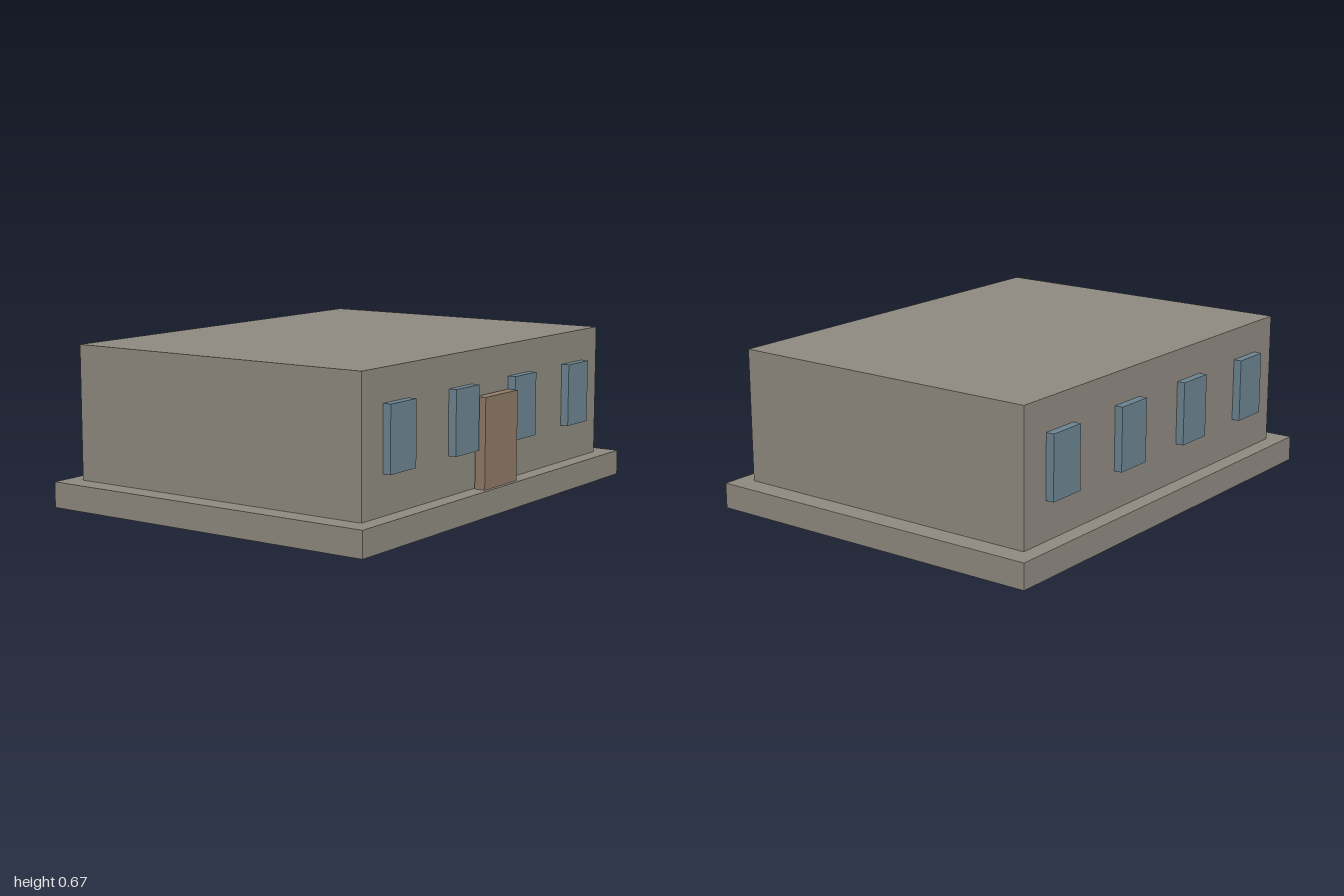
import * as THREE from 'three';

export function createModel() {
  const model = new THREE.Group();
  model.name = 'building';

  const material = (name, color) => {
    const m = new THREE.MeshStandardMaterial({ color });
    m.name = name;
    return m;
  };
  const concrete = material('concrete', 0x8f8a80);
  const glass = material('glass', 0x6c8491);
  const wood = material('wood', 0x8f7a67);

  // Box given by its size, the height of its underside and its centre in x and z
  const addBox = (name, mat, [w, h, d], x, bottom, z) => {
    const mesh = new THREE.Mesh(new THREE.BoxGeometry(w, h, d), mat);
    mesh.name = name;
    mesh.position.set(x, bottom + h / 2, z);
    model.add(mesh);
  };

  // Plinth and main block
  const baseTop = 0.108;
  const wallZ = 0.702;
  addBox('foundation', concrete, [2, baseTop, 1.546], 0, 0, 0);
  addBox('walls', concrete, [1.814, 0.564, wallZ * 2], 0, baseTop, 0);

  // Four raised windows on the front and on the back
  for (const side of [1, -1]) {
    for (const x of [-0.682, -0.227, 0.227, 0.682]) {
      addBox(side > 0 ? 'frontWindow' : 'backWindow', glass,
        [0.173, 0.267, 0.035], x, 0.27, side * (wallZ + 0.0175));
    }
  }

  // Door slab standing just clear of the front wall
  addBox('door', wood, [0.252, 0.377, 0.047], 0, baseTop, 0.734);

  return model;
}
